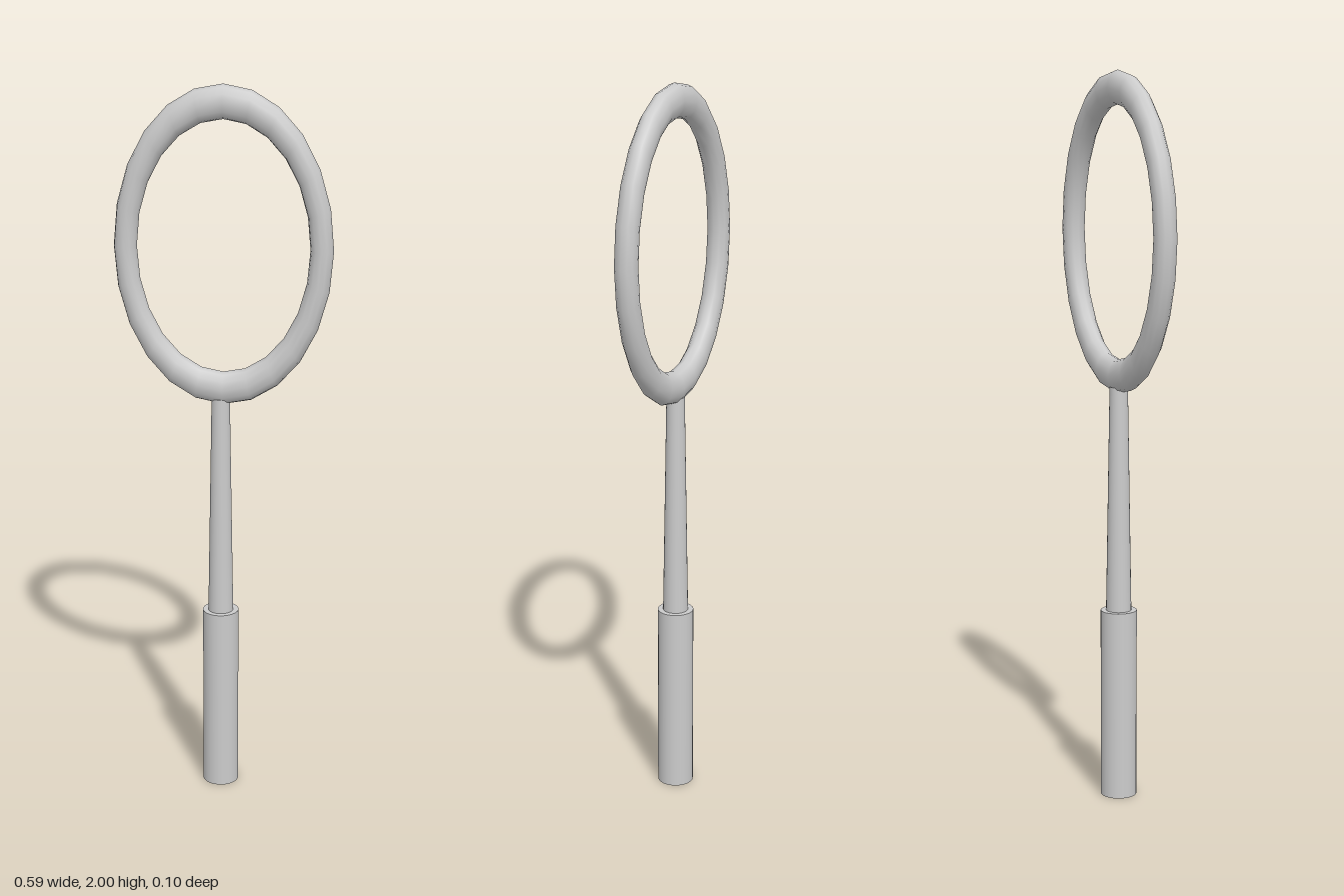
import * as THREE from 'three';

export function createModel() {
  const model = new THREE.Group();
  model.name = 'hoopOnHandle';
  const material = new THREE.MeshStandardMaterial({ color: 0xcccccc });
  const axisX = -0.007; // handle and shaft sit slightly off the hoop's centre

  const add = (name, geometry, x, y) => {
    const mesh = new THREE.Mesh(geometry, material);
    mesh.name = name;
    mesh.position.set(x, y, 0);
    model.add(mesh);
  };

  // A round bar standing between two heights
  const addBar = (name, rTop, rBottom, y0, y1) =>
    add(name, new THREE.CylinderGeometry(rTop, rBottom, y1 - y0, 24), axisX, (y0 + y1) / 2);

  addBar('handle', 0.05, 0.05, 0, 0.53);
  addBar('shaft', 0.025, 0.035, 0.53, 1.153);

  // Oval hoop: a torus stretched upward, so its tube is thicker at top and bottom
  const hoop = new THREE.TorusGeometry(0.262, 0.031, 12, 24);
  hoop.scale(1, 1.475, 1);
  add('hoop', hoop, 0, 1.568);

  return model;
}
